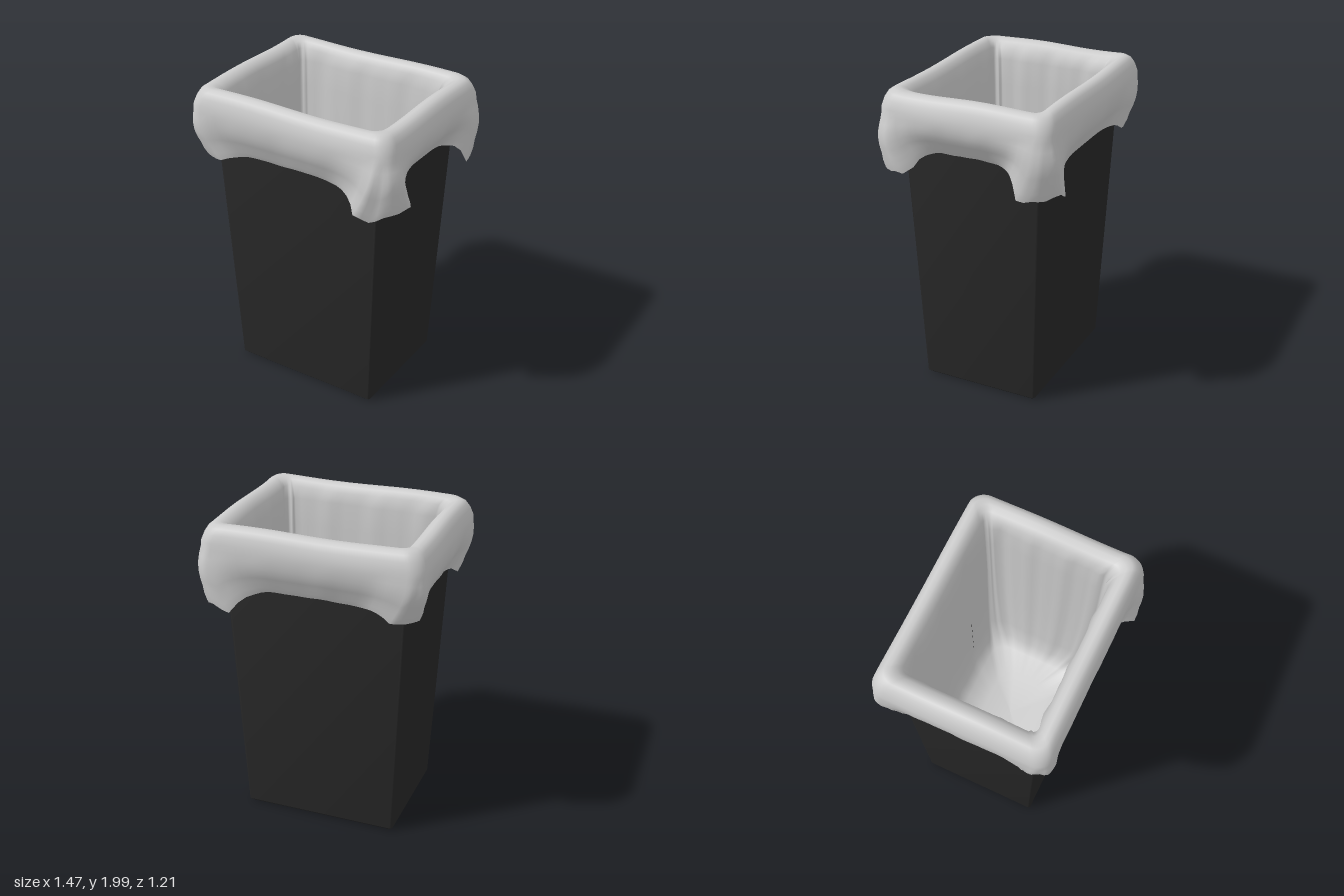
import * as THREE from 'three';
import { toCreasedNormals } from 'three/addons/utils/BufferGeometryUtils.js';

const CX = -0.02;

// Samples around a rounded rectangle: corner factor (fx, fz) and outward normal (nx, nz)
function perimeter(arc, side) {
  const corners = [[1, 1], [-1, 1], [-1, -1], [1, -1]];
  const out = [];
  corners.forEach(([fx, fz], k) => {
    for (let i = 0; i <= arc; i++) {
      const a = (k + i / arc) * Math.PI / 2;
      out.push({ fx, fz, nx: Math.cos(a), nz: Math.sin(a) });
    }
    const [gx, gz] = corners[(k + 1) % 4];
    const a = (k + 1) * Math.PI / 2;
    for (let i = 1; i < side; i++) {
      const t = i / side;
      out.push({ fx: fx + (gx - fx) * t, fz: fz + (gz - fz) * t, nx: Math.cos(a), nz: Math.sin(a) });
    }
  });
  return out;
}

// Skin over rings; row = [half x, half z, y, corner radius]
function loft(rows, samples, shape) {
  const pos = [], index = [], n = samples.length;
  rows.forEach(([hx, hz, y, r], i) => samples.forEach((s, j) => {
    const p = new THREE.Vector3(CX + s.fx * (hx - r) + s.nx * r, y, s.fz * (hz - r) + s.nz * r);
    if (shape) shape(p, s, i, j);
    pos.push(p.x, p.y, p.z);
    if (i < rows.length - 1) {
      const k = (j + 1) % n, a = i * n + j, b = i * n + k;
      index.push(a, a + n, b, b, a + n, b + n);
    }
  }));
  const g = new THREE.BufferGeometry();
  g.setAttribute('position', new THREE.Float32BufferAttribute(pos, 3));
  g.setIndex(index);
  g.computeVertexNormals();
  return g;
}

function makeBin() {
  const rows = [
    [0, 0, 0.005, 0], [0.485, 0.375, 0.005, 0.012], [0.502, 0.39, 0.02, 0.015],
    [0.592, 0.463, 1.92, 0.02], [0.587, 0.458, 1.93, 0.02],
    [0.567, 0.438, 1.93, 0.015], [0.562, 0.433, 1.92, 0.015],
    [0.475, 0.363, 0.04, 0.012], [0, 0, 0.04, 0],
  ];
  const geo = toCreasedNormals(loft(rows, perimeter(3, 1)), 0.6);
  return new THREE.Mesh(geo, new THREE.MeshStandardMaterial({ color: 0x262626 }));
}

// Pseudo-random smooth folds along the perimeter
const fold = (j) => 0.5 * Math.sin(j * 0.83) + 0.3 * Math.sin(j * 1.71 + 1) + 0.3 * Math.sin(j * 0.37 + 2);

function makeBag() {
  const HANG = 8;
  const rows = [];
  // Hanging skirt, from hem up; its sides tuck back towards the bin
  const skirt = [[0.6, 0.468], [0.625, 0.49], [0.65, 0.512], [0.672, 0.533], [0.69, 0.549], [0.702, 0.559], [0.708, 0.565], [0.71, 0.567]];
  skirt.forEach(([hx, hz], i) => rows.push([hx, hz, 1.85, 0.1]));
  // Rolled rim, inner walls and sagging floor
  rows.push(
    [0.707, 0.565, 1.89, 0.1], [0.69, 0.552, 1.94, 0.1], [0.668, 0.532, 1.975, 0.09],
    [0.642, 0.508, 1.993, 0.08], [0.61, 0.478, 1.995, 0.07], [0.575, 0.45, 1.98, 0.06],
    [0.545, 0.424, 1.945, 0.05], [0.527, 0.408, 1.87, 0.05], [0.522, 0.402, 1.7, 0.05],
    [0.517, 0.396, 1.4, 0.05], [0.507, 0.39, 1.0, 0.06], [0.488, 0.375, 0.6, 0.08],
    [0.465, 0.35, 0.45, 0.1], [0.41, 0.3, 0.37, 0.1], [0.25, 0.18, 0.32, 0.08], [0, 0, 0.3, 0]);

  const shape = (p, s, i, j) => {
    const t = Math.min(Math.abs(s.fx), Math.abs(s.fz));
    const corner = t ** 5;
    const loose = corner * (s.fx > 0 ? 1 : 0.25);
    const f = fold(j);
    if (i < HANG) {
      const d = 1 - i / (HANG - 1);
      // Hem height: short on the +x side, long points at the +x corners
      const mid = Math.abs(s.fx) === 1 && s.fx > 0 ? 1.64 : 1.6;
      const low = s.fx > 0 ? 1.5 : 1.54;
      const hem = mid + (low - mid) * corner + f * (0.008 + 0.035 * loose);
      p.y = 1.85 + (hem - 1.85) * d;
      const push = d * (0.105 * loose + 0.02 * corner) + f * d * (0.012 + 0.028 * corner) * (1.2 - 0.5 * d);
      p.x += s.nx * push;
      p.z += s.nz * push;
      // Never cut into the bin
      if (d > 0.8) {
        p.x += s.nx * 0.008;
        p.z += s.nz * 0.008;
      }
    } else if (p.y > 1.87) {
      p.y += 0.005 * Math.sin(j * 0.31) * (p.y > 1.9 ? 1 : 0.5);
    } else if (p.y > 0.4) {
      // Soft vertical wrinkles on the inside
      const w = f * (0.008 + 0.01 * corner);
      p.x += s.nx * w;
      p.z += s.nz * w;
    }
  };
  const geo = loft(rows, perimeter(8, 22), shape);
  return new THREE.Mesh(geo, new THREE.MeshStandardMaterial({ color: 0xcccccc, side: THREE.DoubleSide }));
}

export function createModel() {
  const group = new THREE.Group();
  group.name = 'linedTrashBin';
  const bin = makeBin();
  bin.name = 'bin';
  const bag = makeBag();
  bag.name = 'bagLiner';
  group.add(bin, bag);
  return group;
}
